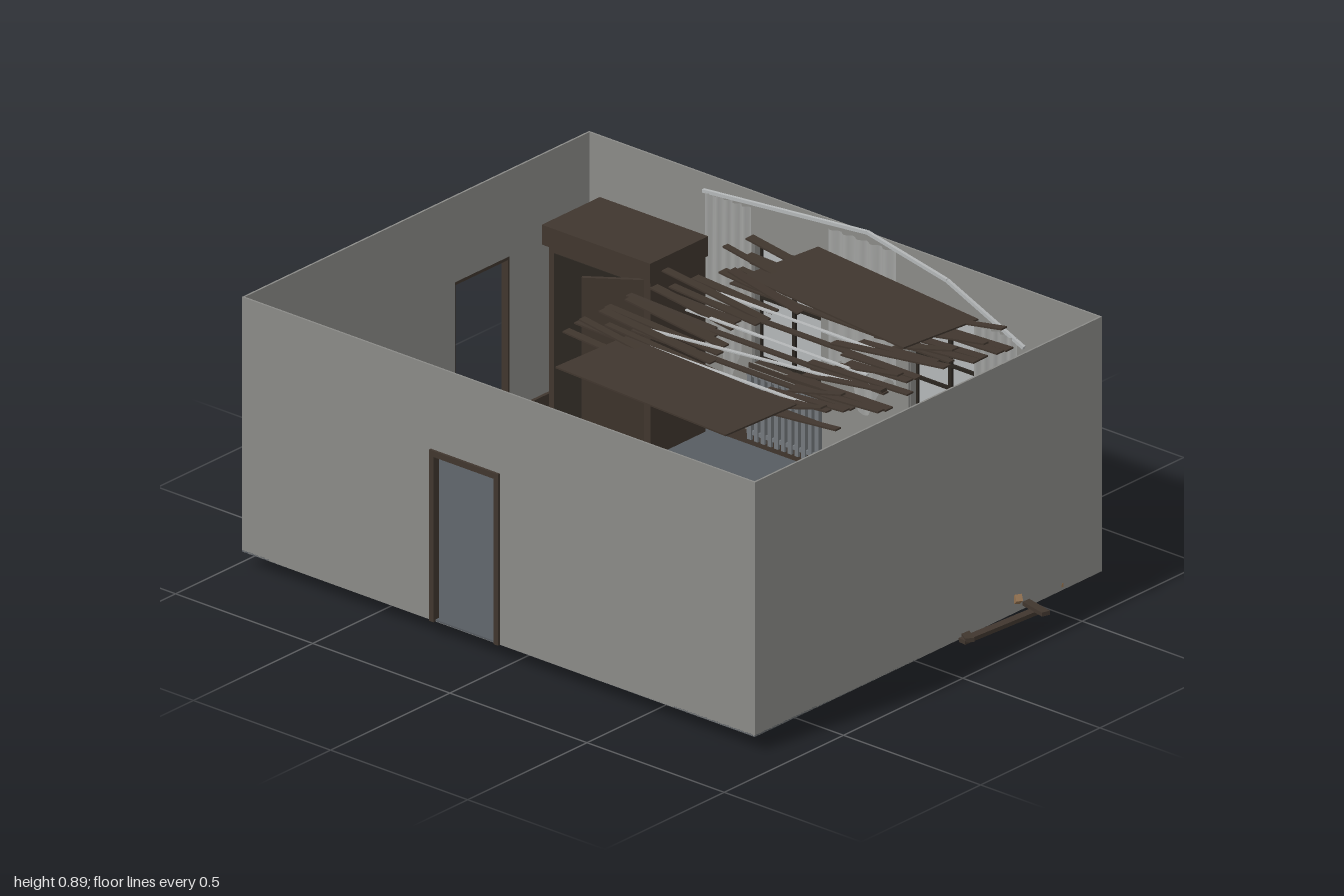
import * as THREE from 'three';

const mat = (name, color, side = THREE.FrontSide) => {
  const m = new THREE.MeshStandardMaterial({ color, side });
  m.name = name;
  return m;
};

export function createModel() {
  const model = new THREE.Group();
  const wallGrey = mat('wall grey', 0x8a8a87);
  const floorSlate = mat('floor slate', 0x575c61);
  const wood = mat('dark wood', 0x40362e, THREE.DoubleSide);
  const blackWood = mat('blackened wood', 0x2a2520);
  const tan = mat('raw board', 0x92714f, THREE.DoubleSide);
  const glass = mat('pale glass', 0xb4b7b8, THREE.DoubleSide);
  const cloth = mat('curtain cloth', 0xa3a4a2, THREE.DoubleSide);
  const metal = mat('radiator metal', 0x73787c);
  const X0 = -0.98, X1 = 0.89, Z0 = -0.71, Z1 = 0.745, Y0 = 0.05, Y1 = 0.82, T = 0.006;

  let seed = 11;
  const rnd = (a, b) => {
    seed = (seed * 16807) % 2147483647;
    return a + (b - a) * seed / 2147483647;
  };
  const add = (name, geo, m, parent = model) => {
    const mesh = new THREE.Mesh(geo, m);
    mesh.name = name;
    parent.add(mesh);
    return mesh;
  };
  const group = (name) => {
    const g = new THREE.Group();
    g.name = name;
    model.add(g);
    return g;
  };
  // box given by its minimum and maximum on each axis
  const span = (name, x0, x1, y0, y1, z0, z1, m, parent) => {
    const b = add(name, new THREE.BoxGeometry(x1 - x0, y1 - y0, z1 - z0), m, parent);
    b.position.set((x0 + x1) / 2, (y0 + y1) / 2, (z0 + z1) / 2);
    return b;
  };
  // flat board lying between two points
  const board = (name, a, b, width, thick, m, parent) => {
    const p = new THREE.Vector3(...a), q = new THREE.Vector3(...b);
    const mesh = add(name, new THREE.BoxGeometry(width, thick, p.distanceTo(q)), m, parent);
    mesh.position.copy(p).add(q).multiplyScalar(0.5);
    mesh.lookAt(q);
    return mesh;
  };
  const rect = (C, a, b, c, d) => {
    const s = new C();
    s.moveTo(a, c); s.lineTo(b, c); s.lineTo(b, d); s.lineTo(a, d); s.closePath();
    return s;
  };
  const wall = (name, a, b, holes) => {
    const s = rect(THREE.Shape, a, b, Y0, Y1);
    s.holes = holes.map((h) => rect(THREE.Path, ...h));
    return add(name, new THREE.ExtrudeGeometry(s, { depth: T, bevelEnabled: false }), wallGrey);
  };

  // Floor and walls, with real door and window openings
  const windows = [[-0.39, -0.12], [0.18, 0.45]];
  span('floor', X0, X1, Y0, Y0 + 0.006, Z0, Z1, floorSlate);
  wall('frontWall', X0, X1, [[-0.28, -0.05, Y0 + 0.001, 0.56]]).position.z = Z1 - T;
  wall('backWall', X0, X1, windows.map(([a, b]) => [a + 0.01, b - 0.01, 0.3, 0.67])).position.z = Z0;
  const left = wall('leftWall', Z0, Z1, []);
  left.rotation.y = -Math.PI / 2;
  left.position.x = X1;
  const right = wall('rightWall', Z0, Z1, [[-0.37, -0.14, Y0 + 0.001, 0.56]]);
  right.rotation.y = -Math.PI / 2;
  right.position.x = X0 + T;

  // Skirting boards
  const skirt = group('skirtingBoards');
  span('skirting', X0 + T, -0.29, Y0, 0.095, Z1 - 0.016, Z1 - T, wood, skirt);
  span('skirting', -0.04, X1 - T, Y0, 0.095, Z1 - 0.016, Z1 - T, wood, skirt);
  span('skirting', X0 + T, X1 - T, Y0, 0.095, Z0 + T, Z0 + 0.014, wood, skirt);
  span('skirting', X1 - 0.016, X1 - T, Y0, 0.095, Z0, Z1 - T, wood, skirt);
  span('skirting', X0 + T, X0 + 0.016, Y0, 0.095, Z0, -0.38, wood, skirt);
  span('skirting', X0 + T, X0 + 0.016, Y0, 0.095, -0.13, Z1 - T, wood, skirt);

  // Door frames
  const frame = (name) => {
    const g = group(name);
    for (const s of [-1, 1]) span('jamb', s * 0.118 - 0.008, s * 0.118 + 0.008, Y0, 0.568, -0.012, 0.012, wood, g);
    span('lintel', -0.126, 0.126, 0.55, 0.568, -0.012, 0.012, wood, g);
    return g;
  };
  frame('frontDoorFrame').position.set(-0.165, 0, 0.741);
  const side = frame('sideDoorFrame');
  side.rotation.y = Math.PI / 2;
  side.position.set(-0.987, 0, -0.255);

  // Bay windows with glazing bars, and radiators underneath
  windows.forEach(([a, b], i) => {
    const g = group('window');
    const w = 0.012, z0 = -0.755;
    span('casingSide', a, a + w, 0.29, 0.68, z0, Z0, wallGrey, g);
    span('casingSide', b - w, b, 0.29, 0.68, z0, Z0, wallGrey, g);
    span('casingTop', a, b, 0.668, 0.68, z0, Z0, glass, g);
    span('sill', a, b, 0.285, 0.3, z0 - 0.002, Z0 + 0.01, wood, g);
    span('pane', a + w, b - w, 0.3, 0.668, z0 + 0.01, z0 + 0.014, glass, g);
    const mid = (a + b) / 2;
    for (const x of [a + w, mid, b - w]) span('upright', x - 0.006, x + 0.006, 0.3, 0.668, z0 + 0.003, z0 + 0.022, blackWood, g);
    for (const y of [0.306, 0.42, 0.49, 0.662]) span('crossbar', a + w, b - w, y - 0.005, y + 0.005, z0 + 0.004, z0 + 0.021, blackWood, g);
    const px = i ? b - 0.275 : a + 0.255;
    span('lowerPost', px, px + 0.014, 0.07, 0.29, z0, Z0, wood, g);

    const r = group('radiator');
    for (let k = 0; k < 11; k++) {
      const x = a + 0.012 + k * (b - a - 0.024) / 10;
      span('radiatorBar', x - 0.007, x + 0.007, 0.075, 0.275, Z0 + T, Z0 + 0.022, metal, r);
    }
    for (const y of [0.09, 0.265]) span('radiatorRail', a, b, y, y + 0.012, Z0 + T, Z0 + 0.018, metal, r);
  });

  // Sagging curtain rod and torn curtains
  const rod = group('curtainRod');
  const rodPts = [[-0.55, 0.775], [0.05, 0.828], [0.34, 0.77], [0.62, 0.65]];
  for (let i = 0; i < 3; i++) board('rod', [...rodPts[i], -0.693], [...rodPts[i + 1], -0.693], 0.01, 0.01, glass, rod);
  for (const [a, b, top, low] of [[-0.54, -0.37, 0.775, 0.3], [-0.09, 0.16, 0.8, 0.34], [0.44, 0.6, 0.67, 0.3]]) {
    const geo = new THREE.PlaneGeometry(1, 1, 24, 1), p = geo.attributes.position;
    for (let i = 0; i < p.count; i++) {
      const u = p.getX(i) + 0.5, up = p.getY(i) > 0;
      p.setXYZ(i, a + u * (b - a), up ? top : low + 0.07 * Math.sin(u * 9), -0.69 + 0.007 * Math.sin(u * 32));
    }
    geo.computeVertexNormals();
    add('curtain', geo, cloth);
  }
  const rag = new THREE.Shape([[-0.39, 0.36], [-0.46, 0.33], [-0.53, 0.27], [-0.62, 0.25], [-0.39, 0.27]].map((q) => new THREE.Vector2(...q)));
  add('blownCurtainEnd', new THREE.ShapeGeometry(rag), new THREE.MeshStandardMaterial().copy(cloth)).position.z = -0.718;
  model.getObjectByName('blownCurtainEnd').material = cloth;

  // Wardrobe with its door ajar
  const wardrobe = group('wardrobe');
  span('wardrobeBody', -0.9, -0.53, Y0, 0.6, -0.68, -0.45, wood, wardrobe);
  span('wardrobeTop', -0.915, -0.52, 0.59, 0.65, -0.68, -0.437, wood, wardrobe);
  const leaf = board('wardrobeDoor', [-0.545, 0.33, -0.44], [-0.685, 0.33, -0.34], 0.012, 0.53, wood, wardrobe);
  leaf.name = 'wardrobeDoor';
  span('wardrobeOpening', -0.88, -0.56, 0.09, 0.57, -0.452, -0.447, blackWood, wardrobe);

  // Broken ceiling slats: two ragged rows dipping toward the middle
  const slats = group('ceilingSlats');
  for (let i = 0; i < 23; i++) {
    const z = -0.37 + i * 0.0345;
    if (i === 8) continue;
    const shift = i < 7 ? 0.05 : 0;
    for (const s of [-1, 1]) {
      const out = s < 0 ? rnd(-0.15, -0.03) + shift : rnd(0.78, 0.9);
      const inn = s < 0 ? rnd(0.16, 0.36) : rnd(0.46, 0.62);
      const lift = i % 3 === 0 ? rnd(0.875, 0.893) : rnd(0.845, 0.86);
      board('slat', [out, lift, z], [inn, rnd(0.828, 0.842), z], rnd(0.02, 0.034), 0.005, wood, slats);
    }
    if (i % 4 === 1) board('longSlat', [0.0, 0.838, z + 0.014], [0.8, 0.838, z + 0.014], 0.022, 0.005, wood, slats);
  }
  for (const [za, zb] of [[-0.085, -0.085], [0.055, 0.055], [0.225, 0.12], [0.31, 0.31]]) {
    board('laths', [0.04, 0.85, za], [0.7, 0.85, zb], 0.012, 0.004, glass, slats);
  }

  // Two loose panels resting over the slats
  for (const [x, z, w, d, turn] of [[0.367, -0.3, 0.65, 0.28, -0.11], [0.367, 0.475, 0.65, 0.28, -0.05]]) {
    const p = add('loosePanel', new THREE.BoxGeometry(w, 0.005, d), wood);
    p.position.set(x, 0.861, z);
    p.rotation.y = turn;
  }

  // Fallen boards in the back corner, some pushed out through the wall
  const debris = group('fallenBoards');
  const fallen = [
    [-0.04, -0.57, 0.29, -0.46], [0.27, -0.31, 0.5, -0.56], [0.4, -0.62, 0.66, -0.66], [0.43, -0.55, 0.85, -0.53],
    [0.52, -0.68, 0.82, -0.42], [0.33, -0.46, 0.75, -0.6], [0.62, -0.36, 0.84, -0.68], [0.7, -0.45, 0.99, -0.36],
    [0.94, -0.4, 0.91, -0.1], [0.8, -0.2, 0.93, -0.11], [0.25, 0.15, 0.45, -0.1], [0.35, 0.18, 0.52, -0.05],
  ];
  fallen.forEach(([xa, za, xb, zb], i) => board('fallenBoard', [xa, 0.051 + (i % 3) * 0.004, za], [xb, 0.054 + (i % 4) * 0.006, zb], 0.026, 0.012, wood, debris));
  for (const [x, z, w, d, t] of [[0.72, -0.61, 0.16, 0.13, 0.4], [0.8, -0.47, 0.13, 0.2, -0.3], [0.7, -0.41, 0.12, 0.08, 0.7], [0.82, -0.63, 0.09, 0.1, 0.1]]) {
    const p = add('rawBoard', new THREE.BoxGeometry(w, 0.012, d), tan, debris);
    p.position.set(x, 0.058, z);
    p.rotation.set(0.06, t, 0.04);
  }
  board('rawSplinter', [0.86, 0.06, -0.37], [0.905, 0.1, -0.345], 0.02, 0.02, tan, debris);

  // Board that has broken through the floor
  const wedge = new THREE.BufferGeometry();
  wedge.setAttribute('position', new THREE.Float32BufferAttribute([0.25, 0.052, -0.2, 0.79, 0.004, -0.25, 0.8, 0.052, -0.2], 3));
  wedge.computeVertexNormals();
  add('sunkenBoard', wedge, wood, debris);

  return model;
}
